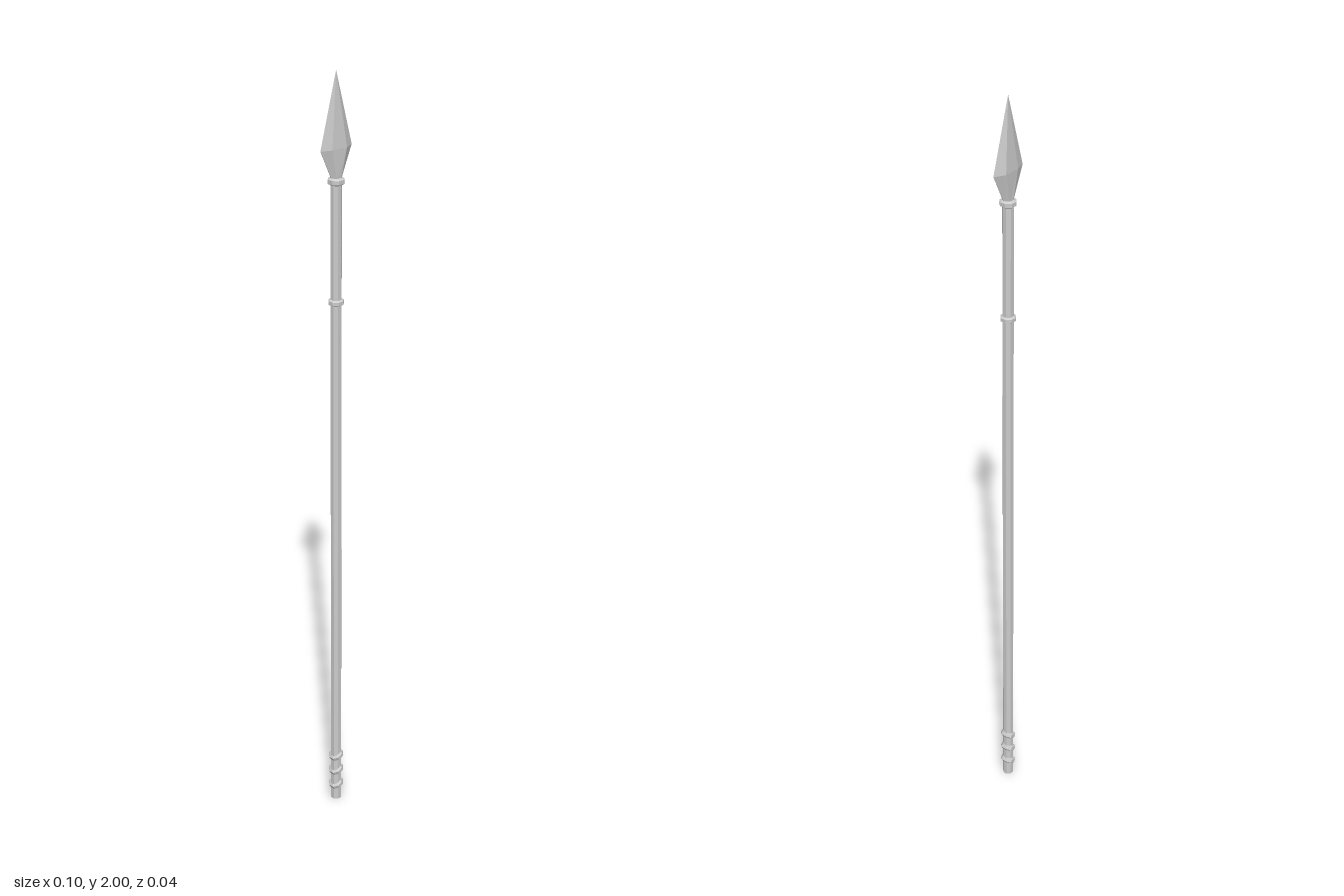
import * as THREE from 'three';

const SIDES = 8;

export function createModel() {
  const root = new THREE.Group();
  root.name = 'spear';
  const mat = new THREE.MeshStandardMaterial({ color: 0xcccccc, flatShading: true });

  const add = (name, geometry, y = 0) => {
    const mesh = new THREE.Mesh(geometry, mat);
    mesh.name = name;
    mesh.position.y = y;
    root.add(mesh);
    return mesh;
  };

  // Octagonal turned part with flat faces toward the axes
  const turned = (points) => new THREE.LatheGeometry(
    points.map(([r, y]) => new THREE.Vector2(r, y)), SIDES, Math.PI / SIDES);

  // Shaft
  add('shaft', turned([[0, 0], [0.0145, 0], [0.0145, 1.74], [0, 1.74]]));

  // Bevelled collars under the blade and along the shaft
  const collar = [[0.0145, -0.009], [0.021, -0.005], [0.021, 0.005], [0.0145, 0.009]];
  add('bladeCollar', turned(collar), 1.735);
  add('shaftRing', turned(collar.map(([r, y]) => [r * 0.95, y * 0.9])), 1.432);

  // Slanted wraps around the butt
  for (const y of [0.045, 0.09, 0.135]) {
    const wrap = add('buttWrap', turned([[0.0135, -0.009], [0.0195, -0.005], [0.0195, 0.005], [0.0135, 0.009]]), y);
    wrap.rotation.z = 0.5;
  }

  // Shallow nicks on the upper shaft
  for (const y of [1.34, 1.38, 1.5, 1.53, 1.57, 1.63]) {
    add('shaftNick', new THREE.BoxGeometry(0.004, 0.018, 0.002), y).position.z = 0.0138;
  }

  // Faceted blade: hexagonal cross-sections rising to a point
  const section = [[0.05, 0], [0.022, -0.014], [-0.022, -0.011], [-0.05, 0], [-0.022, 0.011], [0.022, 0.014]];
  const socket = [[0.012, 0], [0.006, -0.01], [-0.006, -0.01], [-0.012, 0], [-0.006, 0.01], [0.006, 0.01]];
  const loops = [
    socket.map(([x, z]) => [x, 1.737, z]),
    section.map(([x, z]) => [x, 1.815, z]),
    section.map(() => [0, 2, 0]),
  ];
  const positions = [];
  for (let k = 0; k < 2; k++) {
    for (let i = 0; i < 6; i++) {
      const j = (i + 1) % 6;
      const [a, b, c, d] = [loops[k][i], loops[k][j], loops[k + 1][j], loops[k + 1][i]];
      positions.push(...a, ...b, ...c);
      if (k === 0) positions.push(...a, ...c, ...d);
    }
  }
  const blade = new THREE.BufferGeometry();
  blade.setAttribute('position', new THREE.Float32BufferAttribute(positions, 3));
  blade.computeVertexNormals();
  add('blade', blade);

  return root;
}
